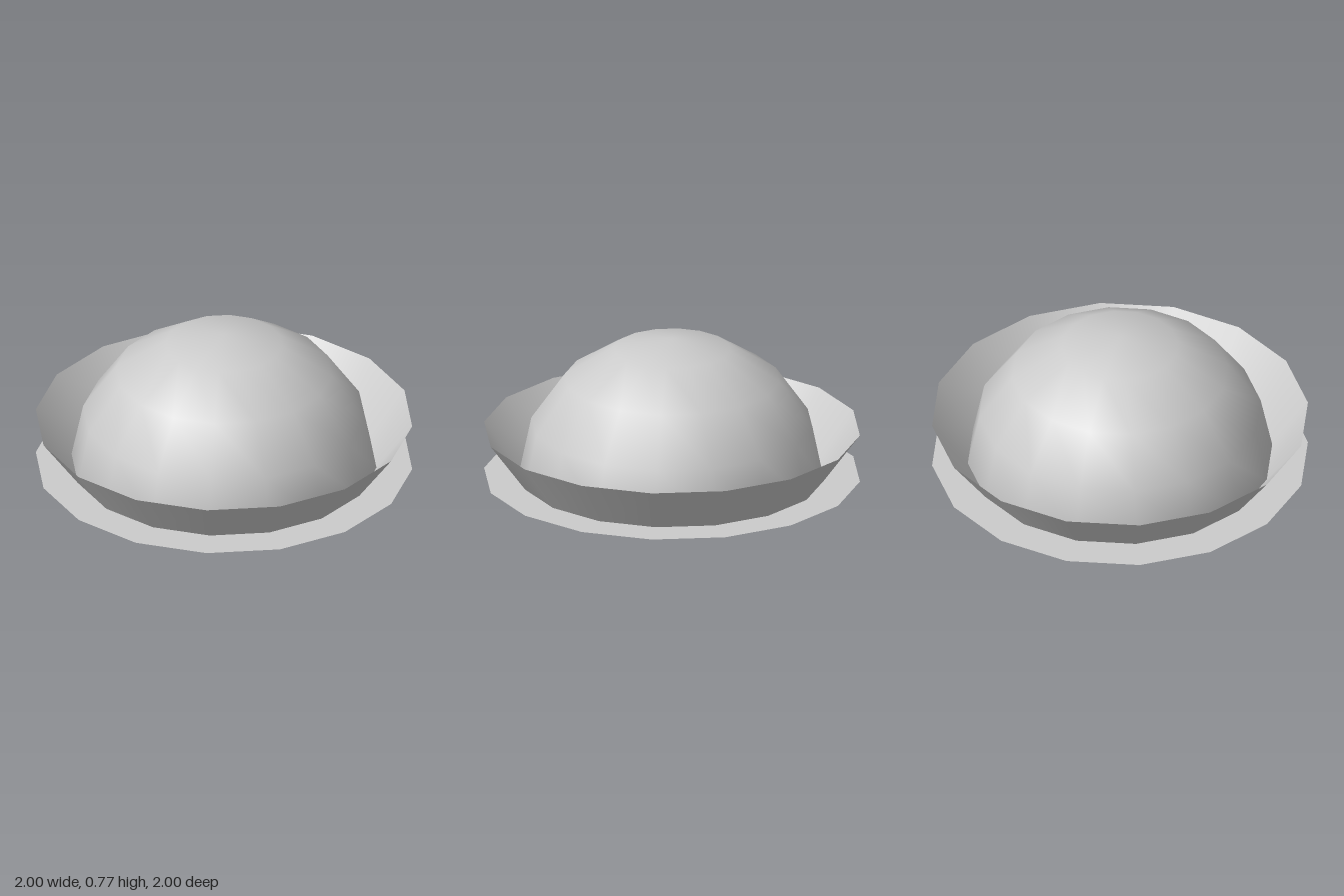
import * as THREE from 'three';

const SIDES = 16;
const INNER = 0.81; // shared radius of dome foot and rim foot
const OUTER = 1;
const RIM_HEIGHT = 0.26;
const DOME_HEIGHT = 0.77;

export function createModel() {
  const group = new THREE.Group();
  const material = new THREE.MeshStandardMaterial({ color: 0xcccccc, side: THREE.DoubleSide });

  const add = (name, geometry) => {
    const mesh = new THREE.Mesh(geometry, material);
    mesh.name = name;
    group.add(mesh);
  };

  // Slightly flattened half sphere, open underneath
  const dome = new THREE.SphereGeometry(INNER, SIDES, 4, 0, Math.PI * 2, 0, Math.PI / 2);
  dome.scale(1, DOME_HEIGHT / INNER, 1);
  add('dome', dome);

  // Thin rim flaring outward from the foot of the dome
  const rim = new THREE.CylinderGeometry(OUTER, INNER, RIM_HEIGHT, SIDES, 1, true);
  rim.translate(0, RIM_HEIGHT / 2, 0);
  add('flaredRim', rim);

  // Flat ring on the ground around the open foot
  const base = new THREE.RingGeometry(INNER, OUTER, SIDES, 1);
  base.rotateX(-Math.PI / 2);
  add('baseRing', base);

  return group;
}
